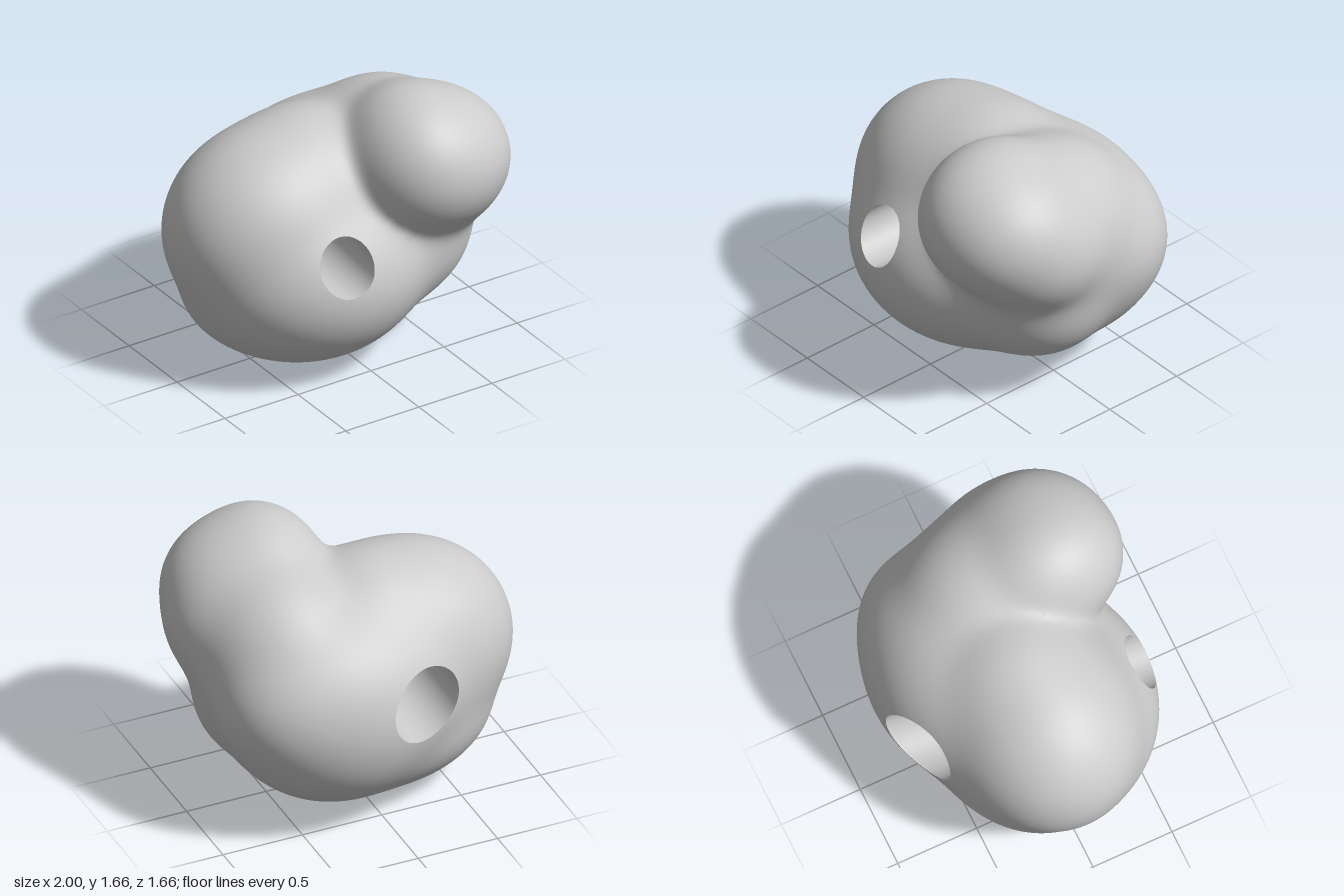
import * as THREE from 'three';

// Ellipsoid lobes that melt together: [centre, radii]
const LOBES = [
  [[-0.35, 0.84, -0.02], [0.645, 0.59, 0.56]],    // left-hand mass
  [[-0.16, 0.6, 0.07], [0.72, 0.57, 0.665]],      // belly
  [[-0.15, 0.42, -0.05], [0.68, 0.4, 0.55]],      // base
  [[-0.1, 0.9, -0.05], [0.51, 0.56, 0.5]],        // core between the two sides
  [[-0.12, 0.78, -0.2], [0.5, 0.46, 0.49]],       // back of the core
  [[0.18, 0.72, -0.25], [0.67, 0.62, 0.575]],     // back
  [[0.45, 0.8, -0.3], [0.455, 0.42, 0.43]],       // back corner
  [[0.42, 0.96, -0.01], [0.51, 0.55, 0.54]],      // shoulder behind the bulge
  [[0.34, 0.64, 0.08], [0.54, 0.46, 0.46]],       // flank under the bulge
  [[0.49, 1.2, 0.365], [0.46, 0.4, 0.45]],        // upper front bulge
  [[0.57, 1.06, 0.22], [0.42, 0.38, 0.42]],       // side of the bulge
  [[0.37, 1.25, 0.35], [0.35, 0.39, 0.43]],       // crown of the bulge
];
const BLEND = 0.046;

// Smooth union of all lobes: negative inside
function field(x, y, z) {
  let sum = 0;
  for (const [c, r] of LOBES) {
    const a = (x - c[0]) / r[0], b = (y - c[1]) / r[1], d = (z - c[2]) / r[2];
    const k0 = Math.hypot(a, b, d);
    const k1 = Math.hypot(a / r[0], b / r[1], d / r[2]) + 1e-6;
    sum += Math.exp(-(k0 * (k0 - 1)) / k1 / BLEND);
  }
  return -BLEND * Math.log(sum + 1e-30);
}

function gradient(p) {
  const e = 0.002;
  return [0, 1, 2].map((a) => {
    const hi = p.slice(), lo = p.slice();
    hi[a] += e;
    lo[a] -= e;
    return (field(...hi) - field(...lo)) / (2 * e);
  });
}

// Surface nets: one vertex per crossed cell, one quad per crossed edge
function polygonise() {
  const h = 0.028, origin = [-1.2, -0.2, -1.05], n = [86, 76, 76];
  const step = [1, n[0], n[0] * n[1]];
  const values = new Float32Array(n[0] * n[1] * n[2]).fill(1);
  const eachPoint = (visit) => {
    for (let k = 1; k < n[2] - 1; k++)
      for (let j = 1; j < n[1] - 1; j++)
        for (let i = 1; i < n[0] - 1; i++) visit([i, j, k], i + j * step[1] + k * step[2]);
  };
  eachPoint((c, id) => { values[id] = field(...c.map((v, a) => origin[a] + v * h)); });

  const points = [], quads = [], cellVertex = new Map();
  eachPoint((cell, id) => {
    const sum = [0, 0, 0];
    let count = 0;
    for (let corner = 0; corner < 8; corner++) {
      const bits = [corner & 1, (corner >> 1) & 1, corner >> 2];
      const from = id + bits[0] + bits[1] * step[1] + bits[2] * step[2];
      for (let a = 0; a < 3; a++) {
        if (bits[a]) continue;
        const v0 = values[from], v1 = values[from + step[a]];
        if (v0 < 0 === v1 < 0) continue;
        for (let b = 0; b < 3; b++) sum[b] += cell[b] + bits[b] + (b === a ? v0 / (v0 - v1) : 0);
        count++;
      }
    }
    if (!count) return;
    const p = sum.map((s, a) => origin[a] + (s / count) * h);
    for (let pass = 0; pass < 2; pass++) {
      const g = gradient(p), t = field(...p) / (g[0] ** 2 + g[1] ** 2 + g[2] ** 2 + 1e-9);
      for (let a = 0; a < 3; a++) p[a] -= g[a] * t;
    }
    cellVertex.set(id, points.length);
    points.push(p);
  });
  eachPoint((cell, id) => {
    for (let a = 0; a < 3; a++) {
      if (values[id] < 0 === values[id + step[a]] < 0) continue;
      const u = step[(a + 1) % 3], v = step[(a + 2) % 3];
      const quad = [id, id - u, id - u - v, id - v].map((c) => cellVertex.get(c));
      quads.push(values[id] < 0 ? quad : quad.reverse());
    }
  });
  return { points, quads };
}

// Tapered oval tunnel running front to back
function tunnelAt(z) {
  const t = (z + 0.72) / 1.37, mix = THREE.MathUtils.lerp;
  return { cx: mix(-0.19, -0.263, t), cy: 0.823, rx: mix(0.235, 0.168, t), ry: mix(0.215, 0.167, t) };
}
function tunnelRatio([x, y, z]) {
  const o = tunnelAt(z);
  return Math.hypot((x - o.cx) / o.rx, (y - o.cy) / o.ry);
}
function tunnelPoint(angle, z) {
  const o = tunnelAt(z);
  return [o.cx + o.rx * Math.cos(angle), o.cy + o.ry * Math.sin(angle), z];
}

function makeGeometry(points, index) {
  const geometry = new THREE.BufferGeometry();
  geometry.setAttribute('position', new THREE.Float32BufferAttribute(points.flat(), 3));
  geometry.setIndex(index);
  return geometry;
}

export function createModel() {
  const group = new THREE.Group();
  const material = new THREE.MeshStandardMaterial({ color: 0xcccccc, side: THREE.DoubleSide });
  const { points, quads } = polygonise();

  // Skin: drop the quads over the tunnel and pull the cut edge onto its rim
  const inside = points.map((p) => tunnelRatio(p) < 1);
  const kept = quads.filter((q) => q.some((i) => !inside[i]));
  for (const i of new Set(kept.flat())) {
    if (!inside[i]) continue;
    const p = points[i];
    for (let pass = 0; pass < 8; pass++) {
      const o = tunnelAt(p[2]), ratio = tunnelRatio(p);
      p[0] = o.cx + (p[0] - o.cx) / ratio;
      p[1] = o.cy + (p[1] - o.cy) / ratio;
      p[2] -= field(...p) / gradient(p)[2];
    }
  }
  const skin = makeGeometry(points, kept.flatMap(([a, b, c, d]) => [a, b, c, a, c, d]));
  skin.setAttribute('normal', new THREE.Float32BufferAttribute(points.flatMap(gradient), 3));
  skin.normalizeNormals();
  const body = new THREE.Mesh(skin, material);
  body.name = 'body';

  // Tunnel wall between the two rims
  const SIDES = 96, wall = [], wallIndex = [];
  for (let s = 0; s < SIDES; s++) {
    const angle = (s / SIDES) * Math.PI * 2;
    for (const end of [-1, 1]) {
      let near = 0, far = end;
      for (let pass = 0; pass < 24; pass++) {
        const mid = (near + far) / 2;
        if (field(...tunnelPoint(angle, mid)) < 0) near = mid;
        else far = mid;
      }
      wall.push(tunnelPoint(angle, near));
    }
    const a = s * 2, b = ((s + 1) % SIDES) * 2;
    wallIndex.push(a, a + 1, b + 1, a, b + 1, b);
  }
  const wallGeometry = makeGeometry(wall, wallIndex);
  wallGeometry.computeVertexNormals();
  const tunnel = new THREE.Mesh(wallGeometry, material);
  tunnel.name = 'tunnelWall';

  group.add(body, tunnel);
  return group;
}
